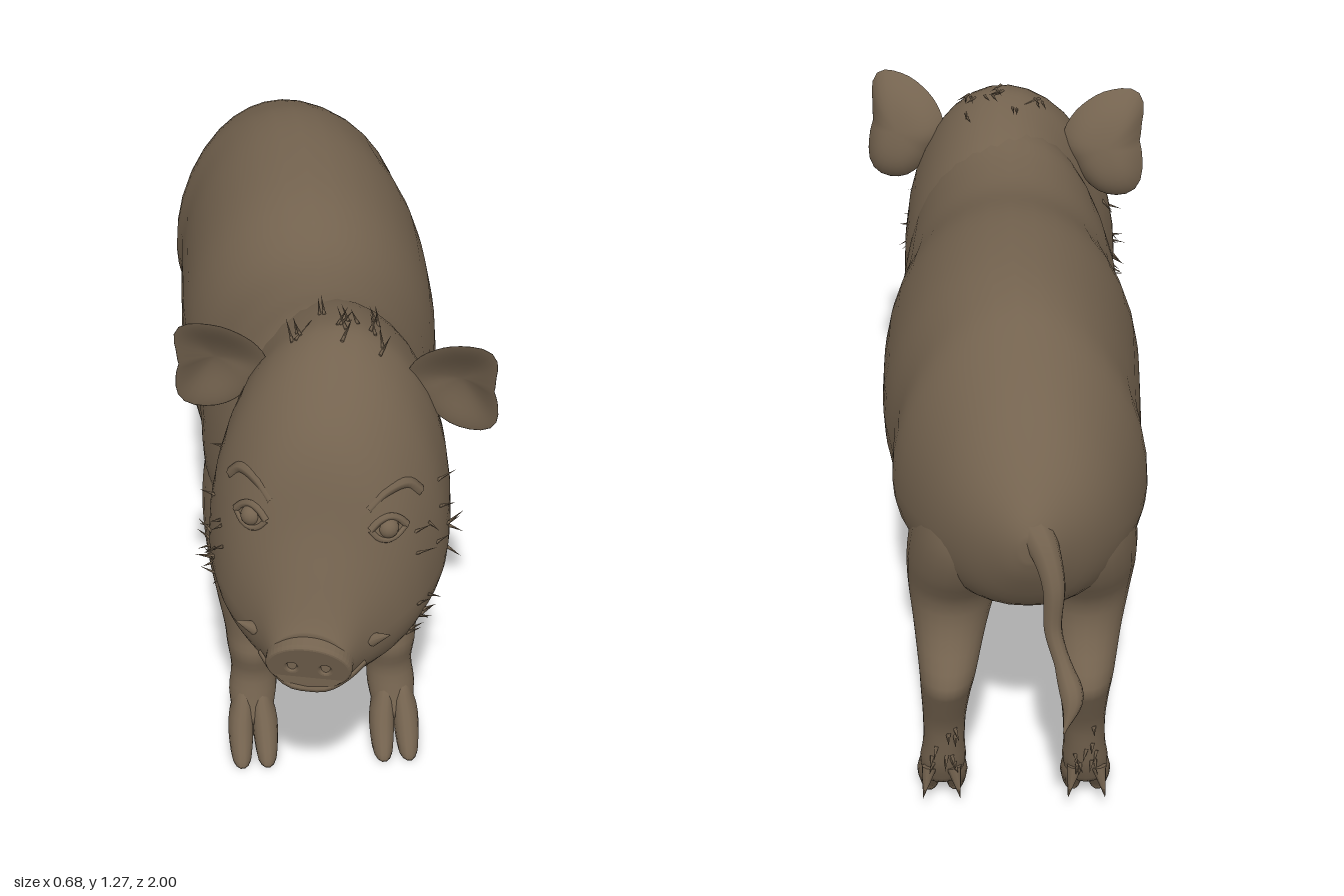
import * as THREE from 'three';
import { mergeGeometries, mergeVertices } from 'three/addons/utils/BufferGeometryUtils.js';

const hide = new THREE.MeshStandardMaterial({ color: 0x74634f });
hide.name = 'brownHide';

const V = (x, y, z) => new THREE.Vector3(x, y, z);
let seed = 7;
const rnd = (a, b) => {
  seed = (seed * 16807) % 2147483647;
  return a + (b - a) * seed / 2147483647;
};

function add(parent, name, geometry) {
  const mesh = new THREE.Mesh(geometry, hide);
  mesh.name = name;
  parent.add(mesh);
  return mesh;
}

// Smooth interpolation between cross-sections [t, centreX, low, high, halfWidth, middle]
function at(S, u) {
  const n = S.length - 1, i = Math.min(Math.floor(u), n - 1), f = u - i;
  const p = k => S[Math.max(0, Math.min(n, k))];
  return S[i].map((b, k) => {
    const a = p(i - 1)[k], c = p(i + 1)[k], d = p(i + 2)[k];
    return b + 0.5 * f * (c - a + f * (2 * a - 5 * b + 4 * c - d + f * (3 * (b - c) + d - a)));
  });
}

// Point on a lofted surface; axis 'z' runs forward with a full underside, axis 'y' runs down
const FULL = 0.82;
function surface(S, u, a, axis) {
  const [t, cx, lo, hi, w, mid] = at(S, u), s = Math.sin(a), c = Math.cos(a);
  const side = axis === 'z' && s < 0 ? Math.sign(c) * Math.abs(c) ** FULL : c;
  const x = cx + w * side, v = mid + s * (s > 0 ? hi - mid : mid - lo);
  return axis === 'z' ? V(x, v, t) : V(x, t, v);
}

function loft(S, axis, sides = 28, sub = 3) {
  const pos = [], idx = [], rings = (S.length - 1) * sub;
  for (let i = 0; i <= rings; i++)
    for (let j = 0; j < sides; j++)
      pos.push(...surface(S, i / sub, j / sides * Math.PI * 2, axis).toArray());
  for (let e = 0; e < 2; e++) {
    const q = at(S, e * (S.length - 1));
    pos.push(...(axis === 'z' ? [q[1], q[5], q[0]] : [q[1], q[0], q[5]]));
  }
  const c = (rings + 1) * sides;
  for (let j = 0; j < sides; j++) {
    const k = (j + 1) % sides;
    for (let i = 0; i < rings; i++) {
      const a = i * sides, b = a + sides;
      idx.push(a + j, a + k, b + k, a + j, b + k, b + j);
    }
    idx.push(c, k, j, c + 1, rings * sides + j, rings * sides + k);
  }
  const g = new THREE.BufferGeometry();
  g.setAttribute('position', new THREE.Float32BufferAttribute(pos, 3));
  g.setIndex(idx);
  g.computeVertexNormals();
  return g;
}
const withMid = S => S.map(s => (s.length > 5 ? s : [...s, (s[2] + s[3]) / 2]));

// Cone rooted at p and pointing along d
function spike(p, d, length, radius, sides = 4) {
  const g = new THREE.ConeGeometry(radius, length, sides).translate(0, length * 0.4, 0);
  g.applyQuaternion(new THREE.Quaternion().setFromUnitVectors(V(0, 1, 0), d.clone().normalize()));
  return g.translate(p.x, p.y, p.z);
}
const tube = (pts, r) => new THREE.TubeGeometry(new THREE.CatmullRomCurve3(pts), 16, r, 6);

const BODY = withMid([
  [-0.845, -0.05, 0.87, 0.93, 0.02], [-0.82, -0.05, 0.80, 0.98, 0.07],
  [-0.75, -0.05, 0.69, 1.06, 0.155], [-0.65, -0.045, 0.63, 1.14, 0.225, 0.84],
  [-0.5, -0.035, 0.59, 1.21, 0.28, 0.83], [-0.38, -0.028, 0.56, 1.25, 0.28, 0.84],
  [-0.22, -0.018, 0.505, 1.262, 0.295, 0.85], [0, -0.018, 0.512, 1.248, 0.297, 0.84],
  [0.2, -0.015, 0.512, 1.2, 0.272, 0.81], [0.35, -0.018, 0.492, 1.2, 0.266, 0.79],
  [0.48, -0.012, 0.53, 1.22, 0.242, 0.8], [0.62, 0, 0.6, 1.19, 0.18, 0.82],
]);

const HEAD = [
  [-0.32, -0.06, 0.62, 1.1, 0.18, 0.82], [-0.15, -0.025, 0.565, 1.205, 0.238, 0.81],
  [0, 0, 0.558, 1.255, 0.25, 0.81],
  [0.08, 0, 0.55, 1.252, 0.26, 0.79], [0.16, 0, 0.545, 1.21, 0.258, 0.77],
  [0.24, 0, 0.54, 1.14, 0.23, 0.74], [0.29, 0, 0.542, 1.06, 0.198, 0.72],
  [0.33, 0, 0.55, 0.94, 0.16, 0.7], [0.37, 0, 0.56, 0.845, 0.12, 0.68],
  [0.405, 0, 0.57, 0.765, 0.094, 0.665], [0.425, 0, 0.585, 0.73, 0.085, 0.655],
];

// Front surface of the face at a given x, y
function face(x, y, lift = 0) {
  for (let u = HEAD.length - 1; u > 0; u -= 0.02) {
    const [t, , lo, hi, w, mid] = at(HEAD, u), up = y > mid;
    const v = (y - mid) / (up ? hi - mid : mid - lo);
    if (Math.abs(x / w) ** (up ? 2 : 2 / FULL) + v * v < 1) return V(x, y, t + lift);
  }
  return V(x, y, 0);
}

// Cupped ear: a ball flattened into an outline, front face hollowed
function ear(s) {
  const R = [0.073, 0.088, 0.132, 0.122, 0.112, 0.112, 0.115, 0.1, 0.11, 0.13, 0.135, 0.095, 0.073]
    .map(r => [r]);
  let g = new THREE.SphereGeometry(1, 36, 20).rotateX(Math.PI / 2);
  g.deleteAttribute('uv');
  g.deleteAttribute('normal');
  g = mergeVertices(g, 1e-4);
  const p = g.attributes.position;
  for (let i = 0; i < p.count; i++) {
    const x = p.getX(i) * s, y = p.getY(i), r = Math.min(1, Math.hypot(x, y));
    const a = (Math.atan2(y, x) / (Math.PI * 2) + 1) % 1;
    const k = at(R, a * 12)[0], ly = y * k, h = 1 - r * r;
    const dish = p.getZ(i) > 0 ? 0.03 * h * h : 0.05 * h + 0.03 * h * (1 - h);
    p.setXYZ(i, s * (0.265 + x * k), 1.14 + ly, 0.05 + ly * 0.28 - dish + 0.15 * x * k);
  }
  g.computeVertexNormals();
  return g;
}

function buildHead() {
  const head = new THREE.Group();
  head.name = 'head';
  add(head, 'skull', loft(HEAD, 'z', 36, 4));

  // Snout disc with two nostrils
  const disc = new THREE.Shape().absellipse(0, 0, 0.086, 0.066, 0, Math.PI * 2);
  for (const s of [-1, 1])
    disc.holes.push(new THREE.Path().absellipse(s * 0.036, 0, 0.017, 0.02, 0, Math.PI * 2, true));
  const snout = new THREE.ExtrudeGeometry(disc, {
    depth: 0.02, bevelSize: 0.007, bevelThickness: 0.01, bevelSegments: 3, curveSegments: 24,
  });
  add(head, 'snout', snout.rotateX(0.28).translate(0, 0.655, 0.405));
  add(head, 'lip', tube([-0.11, -0.08, -0.04, 0, 0.04, 0.08, 0.11]
    .map(x => face(x, 0.585 + x * x * 3.5, -0.006)), 0.01));

  for (const s of [-1, 1]) {
    add(head, 'ear', ear(s));
    const e = face(s * 0.145, 0.93);
    const eye = add(head, 'eye', new THREE.SphereGeometry(0.023, 16, 12));
    eye.position.set(e.x, e.y, e.z - 0.008);
    for (const [name, rise, r] of [['upperLid', 0.026, 0.009], ['lowerLid', -0.024, 0.007]])
      add(head, name, tube([-1, -0.5, 0, 0.5, 1].map(k =>
        face(s * (0.145 + k * 0.036), 0.93 + rise * (1 - k * k) - k * 0.004, -0.002)), r));
    add(head, 'brow', tube([[0.1, 0.975], [0.135, 1.005], [0.175, 1.005], [0.2, 0.975]]
      .map(([x, y]) => face(s * x, y, -0.01)), 0.013));
    const t = face(s * 0.13, 0.685);
    add(head, 'tusk', spike(t, V(s * 0.8, 0.6, 0.35), 0.055, 0.016, 10));

    // Cheek bristles
    const hairs = [];
    for (let i = 0; i < 18; i++) {
      const p = surface(HEAD, rnd(3, 5.6), rnd(-0.7, 0.45), 'z');
      p.x *= s;
      hairs.push(spike(p, V(s * 0.7, rnd(-0.7, 0.4), rnd(-0.8, 0)), rnd(0.03, 0.05), 0.004));
    }
    add(head, 'cheekBristles', mergeGeometries(hairs));
  }

  // Crest of bristles between the ears
  const crest = [];
  for (let i = 0; i < 18; i++) {
    const p = surface(HEAD, rnd(1.5, 3), Math.PI / 2 + rnd(-0.4, 0.4), 'z');
    crest.push(spike(p, V(rnd(-0.5, 0.5), 0.2, -1), rnd(0.05, 0.08), 0.004));
  }
  add(head, 'crestBristles', mergeGeometries(crest));
  head.position.set(-0.012, 0, 0.55);
  head.rotation.set(0, -0.21, -0.015);
  return head;
}

// Legs: [y, midline, offset, back, front, halfWidth], top to bottom, sinking into the body at the top
const FRONT_LEG = [
  [1.0, -0.02, 0.05, 0.25, 0.41, 0.06], [0.86, -0.02, 0.125, 0.2, 0.46, 0.1],
  [0.74, -0.02, 0.155, 0.185, 0.468, 0.106], [0.64, -0.02, 0.163, 0.2, 0.458, 0.107],
  [0.55, -0.02, 0.167, 0.225, 0.447, 0.1], [0.47, -0.02, 0.168, 0.25, 0.442, 0.09],
  [0.38, -0.02, 0.164, 0.275, 0.44, 0.078], [0.3, -0.02, 0.161, 0.3, 0.44, 0.066],
  [0.25, -0.02, 0.16, 0.31, 0.452, 0.062], [0.19, -0.02, 0.16, 0.335, 0.44, 0.054],
  [0.13, -0.02, 0.165, 0.355, 0.455, 0.056], [0.07, -0.02, 0.168, 0.39, 0.475, 0.046],
];
const HIND_LEG = [
  [1.08, -0.045, 0.05, -0.64, -0.46, 0.06], [0.94, -0.045, 0.105, -0.7, -0.4, 0.1],
  [0.82, -0.042, 0.126, -0.735, -0.365, 0.116], [0.71, -0.038, 0.138, -0.705, -0.375, 0.118],
  [0.61, -0.032, 0.148, -0.65, -0.405, 0.104], [0.52, -0.028, 0.152, -0.665, -0.465, 0.084],
  [0.43, -0.025, 0.155, -0.722, -0.54, 0.065], [0.37, -0.022, 0.157, -0.705, -0.56, 0.057],
  [0.27, -0.02, 0.16, -0.66, -0.555, 0.049], [0.19, -0.02, 0.162, -0.645, -0.545, 0.048],
  [0.13, -0.02, 0.165, -0.635, -0.535, 0.053], [0.07, -0.02, 0.168, -0.61, -0.525, 0.045],
];

function buildLeg(name, S, s, shift) {
  const leg = new THREE.Group(), cx = -0.02 + s * 0.168;
  leg.name = name;
  const sections = withMid(S.map(([y, m, o, lo, hi, w]) => [y, m + s * o, lo, hi, w]));
  add(leg, 'limb', loft(sections, 'y', 24, 3));
  for (const k of [-1, 1]) {
    // Cloven toes and dewclaws
    add(leg, 'toe', loft(withMid([
      [0.15, cx + k * 0.016, 0.395, 0.44, 0.018], [0.09, cx + k * 0.026, 0.395, 0.485, 0.029],
      [0.05, cx + k * 0.029, 0.415, 0.515, 0.03], [0.015, cx + k * 0.03, 0.44, 0.545, 0.026],
      [0, cx + k * 0.03, 0.445, 0.55, 0.023],
    ].map(q => [q[0], q[1], q[2] + shift, q[3] + shift, q[4]])), 'y', 14, 2));
    add(leg, 'dewclaw', spike(V(cx + k * 0.03, 0.12, 0.375 + shift), V(k * 0.2, -1, -0.35), 0.08, 0.018, 8));
  }
  // Bristles along the back of the leg
  const hairs = [];
  for (let i = 0; i < 10; i++) {
    const p = surface(sections, rnd(shift ? 8 : 4.5, 9.8), -Math.PI / 2 + rnd(-0.6, 0.6), 'y');
    hairs.push(spike(p, V(rnd(-0.4, 0.4), -0.9, -0.5), rnd(0.025, 0.04), 0.006));
  }
  add(leg, 'legBristles', mergeGeometries(hairs));
  return leg;
}

// Tail: a tapering tube with a pointed tuft
function tail() {
  const path = new THREE.CatmullRomCurve3([
    V(-0.05, 0.94, -0.79), V(-0.08, 0.9, -0.835), V(-0.1, 0.83, -0.868), V(-0.1, 0.72, -0.883),
    V(-0.125, 0.64, -0.92), V(-0.14, 0.59, -0.955), V(-0.122, 0.53, -0.995),
  ]);
  const R = [0.045, 0.031, 0.024, 0.02, 0.018, 0.025, 0.002].map(r => [r]);
  const n = 36, sides = 10, g = new THREE.TubeGeometry(path, n, 1, sides);
  const p = g.attributes.position;
  for (let i = 0; i <= n; i++) {
    const c = path.getPointAt(i / n), r = at(R, i / n * 6)[0];
    for (let j = 0; j <= sides; j++) {
      const k = i * (sides + 1) + j, v = V().fromBufferAttribute(p, k).sub(c).multiplyScalar(r).add(c);
      p.setXYZ(k, v.x, v.y, v.z);
    }
  }
  g.computeVertexNormals();
  return g;
}

export function createModel() {
  const boar = new THREE.Group();
  boar.name = 'boar';
  add(boar, 'body', loft(BODY, 'z', 36, 4));
  add(boar, 'tail', tail());
  boar.add(buildHead());
  for (const s of [-1, 1]) {
    boar.add(buildLeg('frontLeg', FRONT_LEG, s, 0));
    boar.add(buildLeg('hindLeg', HIND_LEG, s, -1));
  }
  return boar;
}
